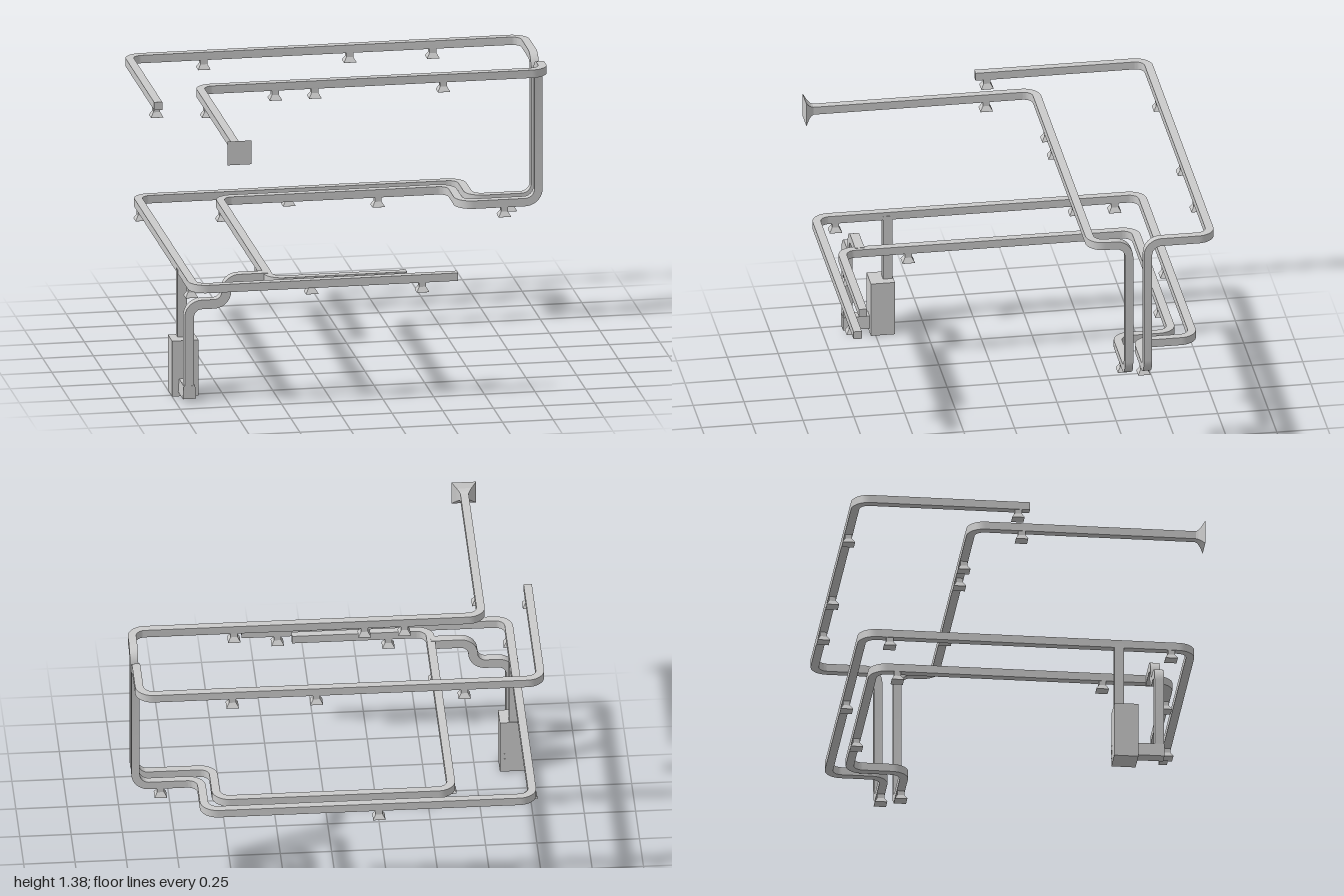
import * as THREE from 'three';
import { toCreasedNormals } from 'three/addons/utils/BufferGeometryUtils.js';

const LOW = 0.617, HIGH = 1.317, W = 0.04, BEND = 0.066;
const mat = new THREE.MeshStandardMaterial({ color: 0xcccccc });
const flatMat = new THREE.MeshStandardMaterial({ color: 0xcccccc, flatShading: true });

function add(parent, name, geometry, x = 0, y = 0, z = 0, material = mat) {
  const m = new THREE.Mesh(geometry, material);
  m.name = name;
  m.position.set(x, y, z);
  parent.add(m);
  return m;
}

// Square duct swept along a polyline whose corners become circular bends
function ductGeometry(points, width = W, r = BEND, steps = 10) {
  const p = points.map(a => new THREE.Vector3(...a));
  const dir = i => p[i + 1].clone().sub(p[i]).normalize();
  const stations = [[p[0], dir(0)]];
  for (let i = 1; i < p.length - 1; i++) {
    const a = dir(i - 1), b = dir(i);
    const centre = p[i].clone().addScaledVector(a, -r).addScaledVector(b, r);
    for (let s = 0; s <= steps; s++) {
      const t = s / steps * Math.PI / 2, c = Math.cos(t), n = Math.sin(t);
      stations.push([
        centre.clone().addScaledVector(b, -r * c).addScaledVector(a, r * n),
        a.clone().multiplyScalar(c).addScaledVector(b, n)
      ]);
    }
  }
  stations.push([p.at(-1), dir(p.length - 2)]);

  // Carry the section along the path without twist
  let prev = stations[0][1];
  const side = Math.abs(prev.y) > 0.5 ? new THREE.Vector3(1, 0, 0) : new THREE.Vector3(0, 1, 0);
  const q = new THREE.Quaternion();
  const rings = stations.map(([c, t]) => {
    side.applyQuaternion(q.setFromUnitVectors(prev, t));
    prev = t;
    const up = t.clone().cross(side);
    return [[1, 1], [-1, 1], [-1, -1], [1, -1]].map(([u, v]) =>
      c.clone().addScaledVector(side, u * width / 2).addScaledVector(up, v * width / 2));
  });
  const pos = [];
  const quad = (a, b, c, d) => [a, b, c, a, c, d].forEach(v => pos.push(v.x, v.y, v.z));
  for (let i = 0; i < rings.length - 1; i++)
    for (let j = 0; j < 4; j++) {
      const k = (j + 1) % 4;
      quad(rings[i][j], rings[i][k], rings[i + 1][k], rings[i + 1][j]);
    }
  quad(...rings[0].slice().reverse());
  quad(...rings.at(-1));
  const g = new THREE.BufferGeometry();
  g.setAttribute('position', new THREE.Float32BufferAttribute(pos, 3));
  return toCreasedNormals(g, 0.6);
}

// Four-sided flared shape from [halfWidth, height] pairs
function squareLathe(profile) {
  const pts = profile.map(([h, y]) => new THREE.Vector2(h * Math.SQRT2, y));
  return new THREE.LatheGeometry(pts, 4, Math.PI / 4);
}

export function createModel() {
  const root = new THREE.Group();
  root.name = 'ductNetwork';

  // Main runs: low level, riser, high level
  add(root, 'outerDuct', ductGeometry([
    [0.36, LOW, 0.79], [-0.938, LOW, 0.79], [-0.938, LOW, -0.815], [0.66, LOW, -0.815],
    [0.66, LOW, -0.535], [0.978, LOW, -0.535], [0.978, HIGH, -0.535],
    [0.978, HIGH, -0.85], [-0.974, HIGH, -0.85], [-0.974, HIGH, -0.005]]));
  add(root, 'innerDuct', ductGeometry([
    [0.12, LOW, 0.725], [-0.55, LOW, 0.725], [-0.55, LOW, -0.72], [0.595, LOW, -0.72],
    [0.595, LOW, -0.442], [0.978, LOW, -0.442], [0.978, HIGH, -0.442],
    [0.978, HIGH, -0.26], [-0.73, HIGH, -0.26], [-0.73, HIGH, 0.84]]));

  // Flared intake at the end of the inner run
  const flare = squareLathe([[0.02, 0], [0.025, 0.012], [0.036, 0.024], [0.06, 0.042], [0, 0.042]]);
  add(root, 'intakeFlare', flare.rotateX(Math.PI / 2), -0.73, HIGH, 0.832, flatMat);

  // Connections from the air unit to the two runs
  add(root, 'supplyRiser', ductGeometry([[-0.938, 0.27, 0.434], [-0.938, LOW, 0.434]], 0.046));
  add(root, 'returnDuct', ductGeometry([
    [-0.938, 0.05, 0.631], [-0.938, 0.495, 0.631], [-0.755, 0.495, 0.631],
    [-0.755, LOW - 0.001, 0.631], [-0.55, LOW - 0.001, 0.631]], 0.046, 0.0605));

  // Air unit with its rear door fittings
  const unit = new THREE.Group();
  unit.name = 'airUnit';
  root.add(unit);
  add(unit, 'cabinet', new THREE.BoxGeometry(0.13, 0.28, 0.118), -0.935, 0.14, 0.465);
  add(unit, 'doorHandle', new THREE.BoxGeometry(0.006, 0.022, 0.006), -0.893, 0.065, 0.404);
  for (const y of [0.033, 0.1])
    add(unit, 'doorPin', new THREE.BoxGeometry(0.005, 0.005, 0.004), -0.893, y, 0.405);
  const section = new THREE.Shape([[-0.032, 0.022], [0.032, 0.022], [0.028, 0.088], [-0.028, 0.088]]
    .map(a => new THREE.Vector2(...a)));
  add(unit, 'plenum', new THREE.ExtrudeGeometry(section, { depth: 0.135, bevelEnabled: false }),
    -0.938, 0, 0.52);

  // Air outlets below the ducts: short neck and flared hood
  const outlet = squareLathe([[0, -0.067], [0.03, -0.067], [0.03, -0.064],
    [0.017, -0.042], [0.017, -0.01]]);
  const place = (y, list) => list.forEach(([x, z]) => add(root, 'airOutlet', outlet, x, y, z, flatMat));
  place(HIGH, [[-0.6, -0.85], [0.12, -0.85], [0.53, -0.85], [-0.974, -0.062],
    [-0.353, -0.26], [-0.158, -0.26], [0.477, -0.26], [-0.73, -0.018]]);
  place(LOW, [[-0.938, -0.685], [-0.938, 0.69], [-0.187, -0.815], [0.185, 0.79], [0.856, -0.535],
    [-0.55, -0.605], [-0.55, 0.395], [0.237, -0.72], [-0.35, 0.725], [0.81, -0.442]]);

  return root;
}
